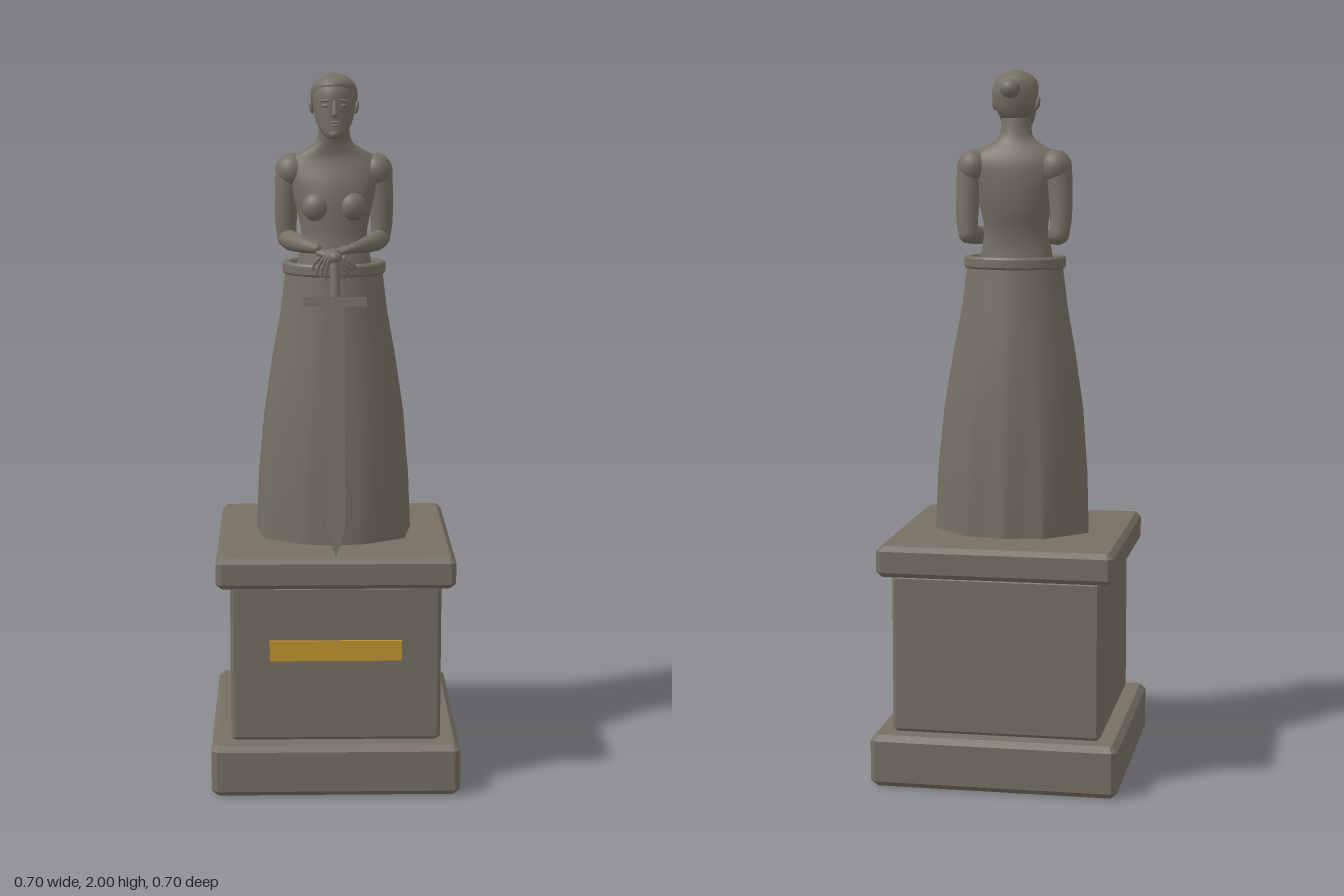
import * as THREE from 'three';

const stone = new THREE.MeshStandardMaterial({ color: 0x756f63 });
stone.name = 'weatheredStone';
const gold = new THREE.MeshStandardMaterial({ color: 0xc0952f });
gold.name = 'goldPlaque';

function add(parent, name, geometry, x = 0, y = 0, z = 0, material = stone) {
  const mesh = new THREE.Mesh(geometry, material);
  mesh.name = name;
  mesh.position.set(x, y, z);
  parent.add(mesh);
  return mesh;
}

// Square block with all edges chamfered, standing on y = 0
function block(half, height, b) {
  const s = new THREE.Shape();
  const h = half, k = half - b;
  [[-k, -h], [k, -h], [h, -k], [h, k], [k, h], [-k, h], [-h, k], [-h, -k]]
    .forEach(([x, y], i) => (i ? s.lineTo(x, y) : s.moveTo(x, y)));
  const g = new THREE.ExtrudeGeometry(s, {
    depth: height - 2 * b, bevelEnabled: true, bevelSegments: 1,
    bevelSize: b, bevelThickness: b, bevelOffset: -b,
  });
  return g.rotateX(-Math.PI / 2).translate(0, b, 0);
}

// Skin over rings of points that run from bottom to top
function skin(rings, capped) {
  const n = rings[0].length, pos = rings.flat().flatMap((p) => [p.x, p.y, p.z]), idx = [];
  for (let i = 0; i < rings.length - 1; i++) {
    for (let j = 0; j < n; j++) {
      const k = (j + 1) % n, a = i * n + j, b = i * n + k;
      idx.push(a, b, b + n, a, b + n, a + n);
    }
  }
  if (capped) {
    const top = (rings.length - 1) * n;
    for (let j = 1; j < n - 1; j++) idx.push(top, top + j, top + j + 1, 0, j + 1, j);
  }
  const g = new THREE.BufferGeometry();
  g.setAttribute('position', new THREE.Float32BufferAttribute(pos, 3));
  g.setIndex(idx);
  g.computeVertexNormals();
  return g;
}

// Smooth body from oval sections [y, half width, back z, front z]
function loft(sections, n = 32, perSection = 3) {
  const lerp = THREE.MathUtils.lerp, rings = [];
  const widths = new THREE.CatmullRomCurve3(sections.map(([y, w]) => new THREE.Vector3(w, y, 0)));
  const depths = new THREE.CatmullRomCurve3(sections.map(([y, , b, f]) => new THREE.Vector3(b, y, f)));
  const steps = (sections.length - 1) * perSection;
  for (let i = 0; i <= steps; i++) {
    const w = widths.getPoint(i / steps), d = depths.getPoint(i / steps), ring = [];
    for (let j = 0; j < n; j++) {
      const a = (j / n) * Math.PI * 2;
      ring.push(new THREE.Vector3(w.x * Math.sin(a), w.y, lerp(d.x, d.z, (Math.cos(a) + 1) / 2)));
    }
    rings.push(ring);
  }
  return skin(rings, true);
}

// Tapering round limb along a curve, with ball ends
function limb(parent, name, points, radii, sides = 14) {
  const v = points.map((p) => new THREE.Vector3(...p));
  const curve = new THREE.CatmullRomCurve3(v), steps = 20;
  const g = new THREE.TubeGeometry(curve, steps, 1, sides), pos = g.attributes.position;
  for (let i = 0; i < pos.count; i++) {
    const u = Math.floor(i / (sides + 1)) / steps, c = curve.getPointAt(u);
    const t = curve.getUtoTmapping(u) * (radii.length - 1), k = Math.min(Math.floor(t), radii.length - 2);
    const r = THREE.MathUtils.lerp(radii[k], radii[k + 1], t - k);
    const p = new THREE.Vector3().fromBufferAttribute(pos, i).sub(c).multiplyScalar(r).add(c);
    pos.setXYZ(i, p.x, p.y, p.z);
  }
  add(parent, name, g);
  [0, radii.length - 1].forEach((i) => add(parent, name + 'End', new THREE.SphereGeometry(radii[i], 14, 10), ...points[i]));
}

function ball(parent, name, r, p, scale, rot = [0, 0, 0]) {
  const m = add(parent, name, new THREE.SphereGeometry(r, 20, 14), ...p);
  m.scale.set(...scale);
  m.rotation.set(...rot);
}

function buildSkirt(parent) {
  // Angular hem that blends upward into an oval waist
  const half = [[0, 0.185], [0.085, 0.17], [0.2, 0.104], [0.224, -0.034], [0.115, -0.143], [0.058, -0.148], [0, -0.168]];
  const hem = [...half, ...half.slice(1, -1).reverse().map(([x, z]) => [-x, z])];
  const sub = 4, n = hem.length * sub;
  // [y, half width, back z, front z, share of the hem outline]
  const rows = [[0.68, 0.215, -0.165, 0.185, 1], [0.85, 0.207, -0.155, 0.176, 0.7], [1.04, 0.19, -0.142, 0.163, 0.35],
    [1.2, 0.17, -0.128, 0.15, 0.12], [1.33, 0.152, -0.113, 0.14, 0], [1.45, 0.137, -0.097, 0.13, 0]];
  const rings = rows.map(([y, w, b, f, share]) => Array.from({ length: n }, (_, j) => {
    const p = hem[Math.floor(j / sub)], q = hem[(Math.floor(j / sub) + 1) % hem.length], t = (j % sub) / sub;
    const hx = p[0] + (q[0] - p[0]) * t, hz = p[1] + (q[1] - p[1]) * t;
    const a = Math.atan2(hx / 0.224, (hz - 0.01) / 0.175);
    const ox = w * Math.sin(a), oz = (b + f) / 2 + ((f - b) / 2) * Math.cos(a);
    return new THREE.Vector3(ox + (hx - ox) * share, y, oz + (hz - oz) * share);
  }));
  add(parent, 'skirt', skin(rings, false));

  // Waistband and the cloth inside it
  const band = new THREE.Shape().absellipse(0, 0, 0.142, 0.117, 0, Math.PI * 2);
  band.holes.push(new THREE.Path().absellipse(0, 0, 0.126, 0.101, 0, Math.PI * 2));
  const ring = new THREE.ExtrudeGeometry(band, { depth: 0.022, bevelSize: 0.004, bevelThickness: 0.006, bevelSegments: 1, curveSegments: 24 });
  add(parent, 'waistband', ring.rotateX(-Math.PI / 2), 0, 1.447, 0.017);
  const inner = add(parent, 'waistInside', new THREE.CylinderGeometry(1, 1, 0.01, 40), 0, 1.455, 0.017);
  inner.scale.set(0.13, 1, 0.106);
}

function buildArm(side) {
  const arm = new THREE.Group();
  arm.name = side > 0 ? 'leftArm' : 'rightArm';
  const m = (x, y, z) => [x * side, y, z];
  ball(arm, 'shoulder', 0.045, m(0.119, 1.727, 0.008), [1, 1.1, 1.05]);
  limb(arm, 'upperArm', [m(0.124, 1.73, 0.008), m(0.133, 1.65, 0.004), m(0.135, 1.58, -0.002), m(0.132, 1.54, -0.005)], [0.041, 0.034, 0.031, 0.028]);
  limb(arm, 'forearm', [m(0.132, 1.538, -0.005), m(0.119, 1.533, 0.04), m(0.088, 1.527, 0.09), m(0.05, 1.522, 0.13)], [0.028, 0.028, 0.022, 0.014]);

  // Hand folded over the pommel, one above the other
  const lift = side > 0 ? 0.007 : -0.004;
  ball(arm, 'palm', 0.03, m(0.025, 1.511 + lift, 0.143), [1.1, 0.4, 0.65], [0, side * 0.5, side * 0.2]);
  for (let i = 0; i < 4; i++) {
    const z = 0.138 + i * 0.009;
    limb(arm, 'finger', [m(0.008, 1.511 + lift, z), m(-0.022 + i * 0.005, 1.506 + lift, z + 0.008),
      m(-0.05 + i * 0.009, 1.482 + lift - i * 0.006, z + 0.006), m(-0.062 + i * 0.012, 1.465 - i * 0.008, z)],
    [0.0065, 0.006, 0.005, 0.0035], 7);
  }
  limb(arm, 'thumb', [m(0.035, 1.513, 0.135), m(0.025, 1.5, 0.158), m(0.018, 1.48, 0.163)], [0.008, 0.007, 0.004], 7);
  return arm;
}

function buildHead(parent) {
  add(parent, 'face', loft([[1.82, 0.01, 0.078, 0.1], [1.828, 0.026, 0.055, 0.109], [1.85, 0.043, 0.018, 0.109],
    [1.88, 0.054, -0.01, 0.108], [1.92, 0.059, -0.027, 0.109], [1.95, 0.059, -0.03, 0.107],
    [1.975, 0.047, -0.018, 0.094], [1.99, 0.022, 0.01, 0.065]]));
  add(parent, 'hair', loft([[1.865, 0.03, -0.014, 0.025], [1.885, 0.052, -0.024, 0.038], [1.92, 0.064, -0.033, 0.06],
    [1.95, 0.065, -0.036, 0.095], [1.972, 0.056, -0.027, 0.102], [1.99, 0.034, -0.004, 0.078], [2, 0.004, 0.033, 0.042]]));
  ball(parent, 'hairBun', 0.028, [0, 1.946, -0.062], [1.05, 0.95, 0.95]);

  // Facial features
  limb(parent, 'nose', [[0, 1.922, 0.106], [0, 1.905, 0.112], [0, 1.889, 0.116]], [0.005, 0.007, 0.009], 10);
  ball(parent, 'upperLip', 0.014, [0, 1.867, 0.107], [1, 0.28, 0.45]);
  ball(parent, 'lowerLip', 0.013, [0, 1.859, 0.106], [0.9, 0.32, 0.45]);
  ball(parent, 'chin', 0.015, [0, 1.835, 0.101], [1, 0.8, 0.7]);
  for (const s of [-1, 1]) {
    ball(parent, 'eye', 0.011, [s * 0.025, 1.912, 0.1], [1, 0.5, 0.55], [0, s * 0.4, 0]);
    ball(parent, 'brow', 0.017, [s * 0.026, 1.926, 0.101], [1, 0.25, 0.4], [0, s * 0.4, -s * 0.1]);
    ball(parent, 'ear', 0.019, [s * 0.063, 1.905, 0.032], [0.32, 1, 0.6], [0.15, 0, -s * 0.15]);
  }
}

function buildSword() {
  const sword = new THREE.Group();
  sword.name = 'sword';
  const s = new THREE.Shape([[0, 0], [0.026, 0.085], [0.026, 0.7], [-0.026, 0.7], [-0.026, 0.085]].map((p) => new THREE.Vector2(...p)));
  add(sword, 'blade', new THREE.ExtrudeGeometry(s, { depth: 0.014, bevelEnabled: false }), 0, 0, -0.007);
  add(sword, 'crossguard', new THREE.BoxGeometry(0.176, 0.026, 0.026), 0, 0.707, 0);
  add(sword, 'grip', new THREE.CylinderGeometry(0.013, 0.014, 0.11, 12), 0, 0.77, 0);
  ball(sword, 'pommel', 0.02, [0, 0.828, 0], [1, 0.9, 1]);
  sword.position.set(0, 0.685, 0.31);
  sword.rotation.x = -0.171;
  return sword;
}

export function createModel() {
  const model = new THREE.Group();
  model.name = 'statue';

  // Pedestal
  const pedestal = new THREE.Group();
  pedestal.name = 'pedestal';
  add(pedestal, 'plinth', block(0.35, 0.148, 0.016));
  add(pedestal, 'dado', block(0.295, 0.452, 0.01), 0, 0.147, 0);
  add(pedestal, 'cornice', block(0.333, 0.088, 0.014), 0, 0.598, 0);
  add(pedestal, 'plaque', new THREE.BoxGeometry(0.37, 0.058, 0.009), 0, 0.413, 0.2985, gold);
  model.add(pedestal);

  // Figure
  const figure = new THREE.Group();
  figure.name = 'figure';
  buildSkirt(figure);
  add(figure, 'torso', loft([[1.45, 0.108, -0.022, 0.112], [1.5, 0.1, -0.017, 0.104], [1.55, 0.092, -0.022, 0.096],
    [1.6, 0.1, -0.035, 0.095], [1.65, 0.112, -0.042, 0.094], [1.7, 0.125, -0.043, 0.084], [1.74, 0.132, -0.038, 0.068],
    [1.77, 0.112, -0.026, 0.06], [1.79, 0.078, -0.015, 0.062], [1.81, 0.051, -0.006, 0.067],
    [1.84, 0.043, 0, 0.075], [1.87, 0.042, 0.004, 0.076]], 40));
  for (const s of [-1, 1]) {
    ball(figure, 'chest', 0.04, [s * 0.05, 1.632, 0.07], [1, 1.05, 0.9]);
    figure.add(buildArm(s));
  }
  const head = new THREE.Group();
  head.name = 'head';
  buildHead(head);
  figure.add(head);
  figure.add(buildSword());
  model.add(figure);
  return model;
}
